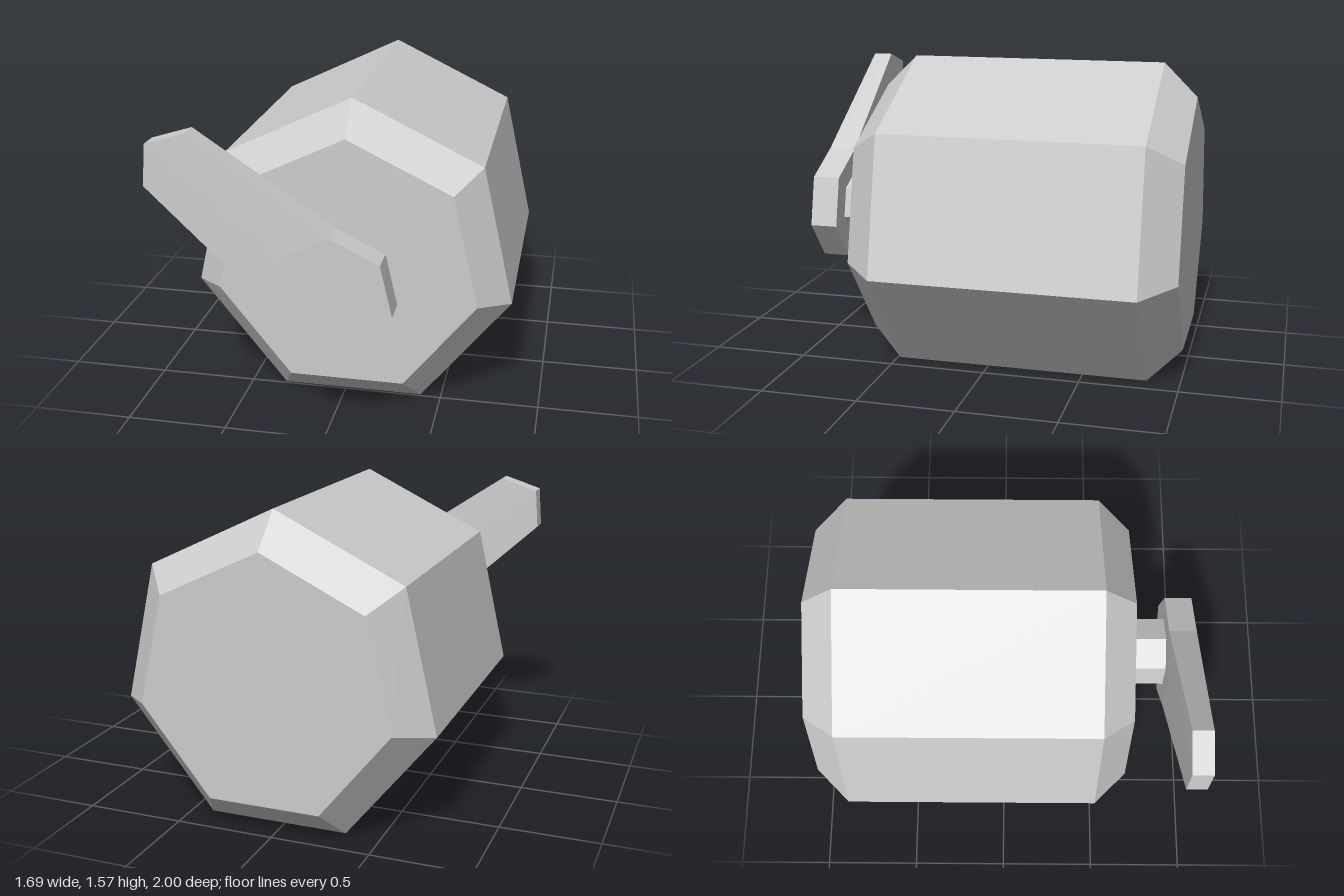
import * as THREE from 'three';

const CX = 0.037, CY = 0.744; // shared axis of body, axle and hub
const SIDES = 7;

// Faceted normals for the low-poly look
function faceted(geometry) {
  const flat = geometry.index ? geometry.toNonIndexed() : geometry;
  flat.computeVertexNormals();
  return flat;
}

// Seven-sided solid along z from [radius, z] pairs, one corner pointing up
function heptagonal(profile) {
  const points = profile.map(([r, z]) => new THREE.Vector2(r, z));
  const geometry = new THREE.LatheGeometry(points, SIDES, Math.PI);
  geometry.rotateX(Math.PI / 2);
  geometry.translate(CX, CY, 0);
  return faceted(geometry);
}

// Tapered arm growing out of two neighbouring sides of the hub
function armGeometry(hubRadius) {
  const root = [0, 1, 2].map((i) => {
    const a = (i * 2 * Math.PI) / SIDES;
    return [CX - hubRadius * Math.sin(a), CY + hubRadius * Math.cos(a)];
  });
  const tip = [[-0.632, 1.497], [-0.83, 1.435], [-0.847, 1.23]];
  const layer = (outline, z) => outline.map(([x, y]) => [x, y, z]);
  const rf = layer(root, 1), rb = layer(root, 0.857);
  const tf = layer(tip, 0.978), tb = layer(tip, 0.875);
  const positions = [];
  const quad = (a, b, c, d) => positions.push(...a, ...b, ...c, ...a, ...c, ...d);
  for (let i = 0; i < 2; i++) {
    quad(rf[i], tf[i], tf[i + 1], rf[i + 1]); // front
    quad(rb[i], rb[i + 1], tb[i + 1], tb[i]); // back
    quad(tf[i], tb[i], tb[i + 1], tf[i + 1]); // end
  }
  quad(rf[0], rb[0], tb[0], tf[0]); // upper edge
  quad(rf[2], tf[2], tb[2], rb[2]); // lower edge
  const geometry = new THREE.BufferGeometry();
  geometry.setAttribute('position', new THREE.Float32BufferAttribute(positions, 3));
  return faceted(geometry);
}

export function createModel() {
  const group = new THREE.Group();
  group.name = 'crankDrum';
  const grey = new THREE.MeshStandardMaterial({ color: 0xcccccc });
  grey.name = 'light grey';

  const add = (name, geometry) => {
    const mesh = new THREE.Mesh(geometry, grey);
    mesh.name = name;
    group.add(mesh);
  };

  // Chamfered drum
  add('body', heptagonal([
    [0, -1], [0.656, -1], [0.826, -0.83], [0.826, 0.487], [0.666, 0.65], [0, 0.65],
  ]));
  // Short shaft between drum and handle
  add('axle', heptagonal([[0.18, 0.65], [0.18, 0.857]]));
  // Handle: hub and arm
  const hubRadius = 0.3;
  add('handleHub', heptagonal([[0, 0.857], [hubRadius, 0.857], [hubRadius, 1], [0, 1]]));
  add('handleArm', armGeometry(hubRadius));

  return group;
}
